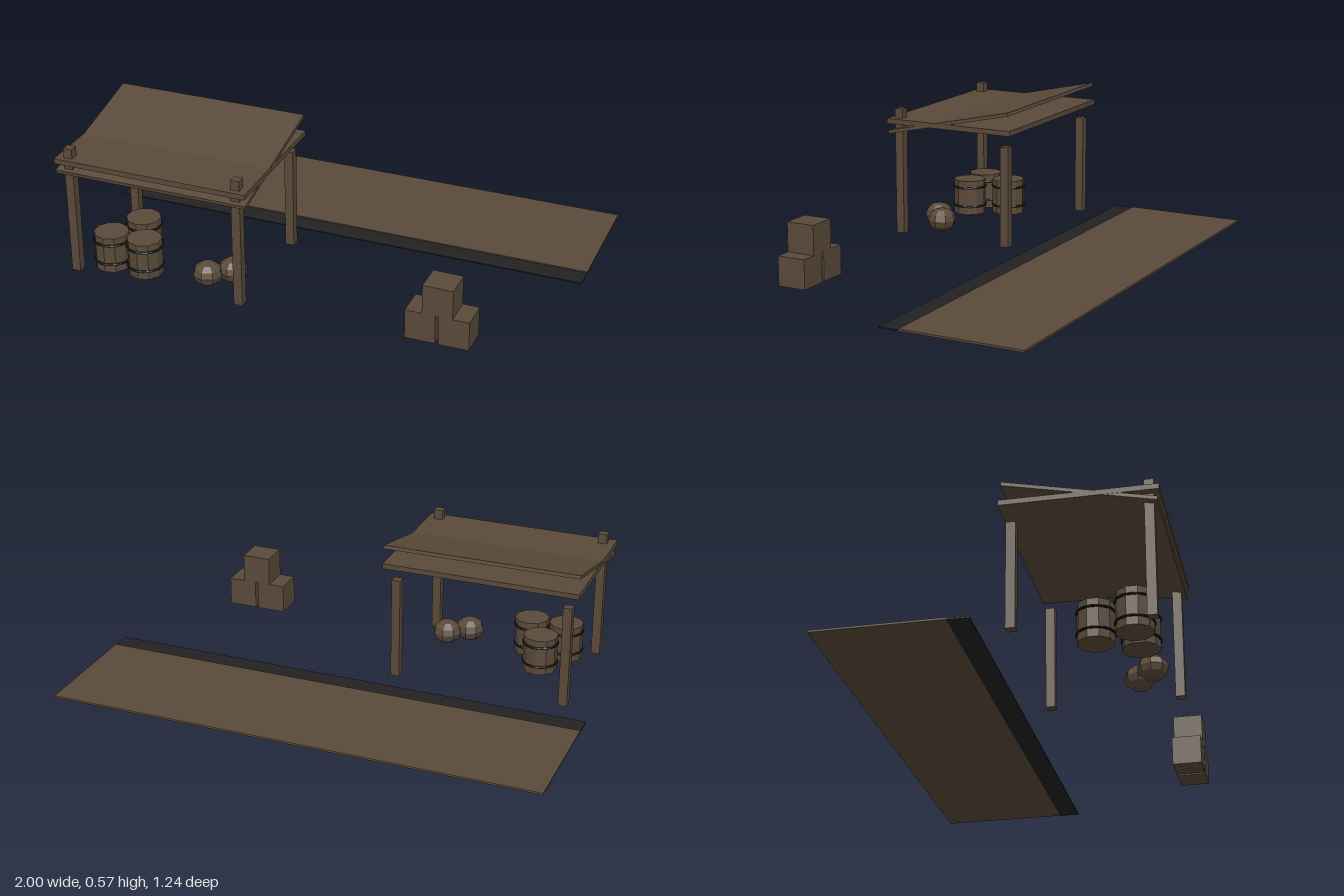
import * as THREE from 'three';

export function createModel() {
  const model = new THREE.Group();
  const wood = new THREE.MeshStandardMaterial({ color: 0x5a4a3a, flatShading: true });
  wood.name = 'wood brown';
  const dark = new THREE.MeshStandardMaterial({ color: 0x222222, flatShading: true });
  dark.name = 'kerb black';
  const iron = new THREE.MeshStandardMaterial({ color: 0x1a1a1a, flatShading: true });
  iron.name = 'hoop iron';

  function add(parent, name, geometry, material, x, y, z) {
    const mesh = new THREE.Mesh(geometry, material);
    mesh.name = name;
    mesh.position.set(x, y, z);
    parent.add(mesh);
    return mesh;
  }
  function group(name, x = 0, z = 0) {
    const g = new THREE.Group();
    g.name = name;
    g.position.set(x, 0, z);
    model.add(g);
    return g;
  }
  const box = (w, h, d) => new THREE.BoxGeometry(w, h, d);

  // Walkway and the dark kerb along its edge
  add(model, 'walkway', box(2, 0.008, 0.5), wood, 0, 0.006, -0.37);
  add(model, 'kerb', box(2, 0.005, 0.083), dark, 0, 0.0035, -0.0785);

  // Open shelter: tall front posts, short back posts, flat and sloping roof boards
  const shelter = group('shelter', -0.527, 0.33);
  for (const side of [-1, 1]) {
    add(shelter, 'frontPost', box(0.036, 0.535, 0.036), wood, side * 0.35, 0.2675, 0.25);
    add(shelter, 'backPost', box(0.036, 0.42, 0.036), wood, side * 0.35, 0.21, -0.249);
  }
  add(shelter, 'flatRoof', box(0.797, 0.021, 0.58), wood, 0, 0.485, 0);
  const slope = add(shelter, 'slopingRoof', box(0.795, 0.0145, 0.577), wood, 0, 0.5005, 0.0015);
  slope.rotation.x = 0.2185;

  // Barrels with two iron hoops each
  const barrelBody = new THREE.CylinderGeometry(0.07, 0.07, 0.15, 10);
  const hoop = new THREE.TorusGeometry(0.07, 0.005, 6, 20).rotateX(Math.PI / 2);
  for (const [x, z] of [[-0.765, 0.5], [-0.7, 0.35], [-0.62, 0.5]]) {
    const barrel = group('barrel', x, z);
    add(barrel, 'barrelBody', barrelBody, wood, 0, 0.076, 0);
    for (const y of [0.036, 0.12]) add(barrel, 'barrelHoop', hoop, iron, 0, y, 0);
  }

  // Squat sacks
  const sack = new THREE.SphereGeometry(0.06, 8, 6).scale(1, 0.83, 1);
  add(model, 'sack', sack, wood, -0.35, 0.051, 0.5);
  add(model, 'sack', sack, wood, -0.27, 0.051, 0.44);

  // Stack of three crates
  const crates = group('crates', 0.613, 0.514);
  const crate = box(0.119, 0.119, 0.119);
  for (const [x, y] of [[-0.066, 0.0595], [0.066, 0.0595], [0, 0.1785]]) {
    add(crates, 'crate', crate, wood, x, y, 0);
  }

  return model;
}
